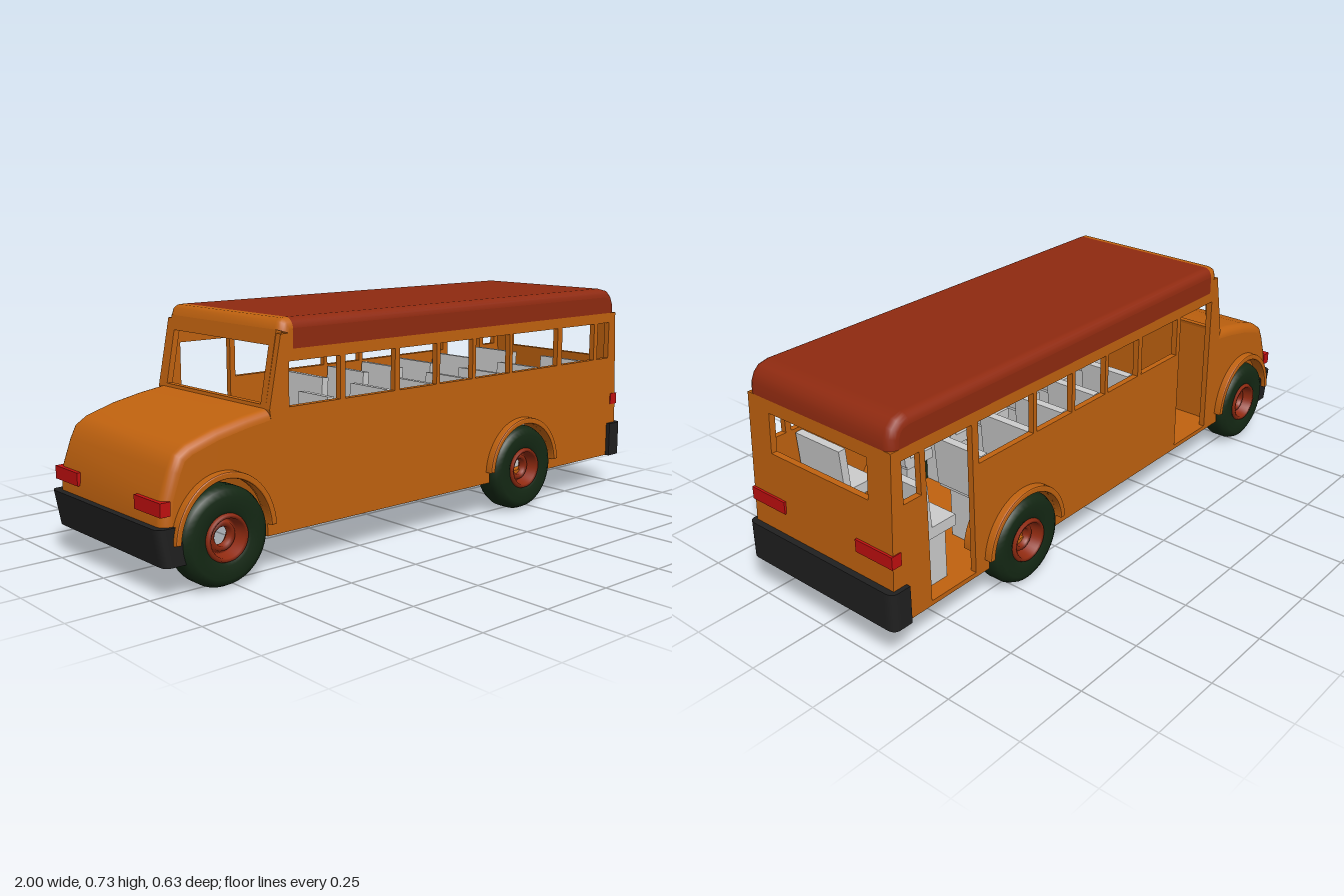
import * as THREE from 'three';

const mat = (color, side = THREE.FrontSide) => new THREE.MeshStandardMaterial({ color, side });
const ORANGE = mat(0xc0620f, THREE.DoubleSide);
const RED = mat(0x8f2a10, THREE.DoubleSide);
const TIRE = mat(0x142814);
const BLACK = mat(0x202020);
const LIGHT = mat(0xc01010);
const GREY = mat(0xcccccc);

const W = 0.29, T = 0.02, R = 0.03; // half width, wall thickness, edge rounding
const FRONT_X = -0.785, REAR_X = 0.45, AXLE_Y = 0.145;

// Side profiles, running from the rear over the top and down the front
const ROOF = [[0.96, 0.645], [0.957, 0.68], [0.945, 0.706], [0.925, 0.725], [0.89, 0.733], [-0.535, 0.733]];
const CAP = [[-0.535, 0.733], [-0.555, 0.732], [-0.57, 0.723], [-0.578, 0.7]];
const HOOD = [[-0.62, 0.48], [-0.7, 0.468], [-0.8, 0.447], [-0.89, 0.418], [-0.925, 0.395],
  [-0.945, 0.355], [-0.972, 0.28], [-0.98, 0.2], [-0.98, 0.115]];

// Window spans along x; the first and seventh are doors on the right side
const WINDOWS = [[-0.55, -0.36], [-0.34, -0.14], [-0.12, 0.04], [0.055, 0.205],
  [0.22, 0.385], [0.4, 0.635], [0.66, 0.84], [0.86, 0.925]];

function add(parent, name, geometry, material, x = 0, y = 0, z = 0) {
  const mesh = new THREE.Mesh(geometry, material);
  mesh.name = name;
  mesh.position.set(x, y, z);
  parent.add(mesh);
  return mesh;
}

const box = (parent, name, size, pos, material) =>
  add(parent, name, new THREE.BoxGeometry(...size), material, ...pos);

// Move a profile inward along its normals
function inset(path, d) {
  return path.map(([x, y], i) => {
    const a = path[Math.max(i - 1, 0)], b = path[Math.min(i + 1, path.length - 1)];
    const dx = b[0] - a[0], dy = b[1] - a[1], l = Math.hypot(dx, dy);
    return [x - (dy / l) * d, y + (dx / l) * d];
  });
}

// Sheet following a side profile across the width, with rounded side edges
function skin(path) {
  const section = [];
  for (let i = 0; i <= 5; i++) {
    const a = (i / 5) * Math.PI / 2;
    section.push([W - R + R * Math.cos(a), R * (1 - Math.sin(a))]);
  }
  const full = [...section, ...section.slice().reverse().map(([z, d]) => [-z, d])];
  const pos = [], index = [], n = path.length;
  full.forEach(([z, d]) => inset(path, d).forEach(([x, y]) => pos.push(x, y, z)));
  for (let j = 0; j < full.length - 1; j++) {
    for (let i = 0; i < n - 1; i++) {
      const a = j * n + i, b = a + n;
      index.push(a, b, a + 1, b, b + 1, a + 1);
    }
  }
  const g = new THREE.BufferGeometry();
  g.setAttribute('position', new THREE.Float32BufferAttribute(pos, 3));
  g.setIndex(index);
  g.computeVertexNormals();
  return g;
}

const shapeOf = (pts) => new THREE.Shape(pts.map(([x, y]) => new THREE.Vector2(x, y)));
const rect = (x0, x1, y0, y1) => [[x0, y0], [x1, y0], [x1, y1], [x0, y1]];
const extrude = (shape, depth) =>
  new THREE.ExtrudeGeometry(shape, { depth, bevelEnabled: false, curveSegments: 24 });

// Wheel arch points from front to rear, starting and ending on the sill
function arch(cx, rx, ry) {
  const pts = [[cx - rx, 0.115]];
  for (let i = 0; i <= 24; i++) {
    const a = Math.PI * (1 - i / 24);
    pts.push([cx + rx * Math.cos(a), AXLE_Y + ry * Math.sin(a)]);
  }
  return [...pts, [cx + rx, 0.115]];
}

function sideWall(doors) {
  const shape = shapeOf([[0.985, 0.115], [0.96, 0.645], [-0.535, 0.645], ...inset(CAP, R),
    [-0.578, 0.69], [-0.62, 0.48], ...inset(HOOD, R),
    ...arch(FRONT_X, 0.152, 0.168), ...arch(REAR_X, 0.153, 0.155)]);
  WINDOWS.forEach(([x0, x1], i) => {
    const low = doors && (i === 0 || i === 6) ? 0.13 : 0.48;
    shape.holes.push(shapeOf(rect(x0, x1, low, 0.61)));
  });
  return extrude(shape, T);
}

// Sloping cross panel with a window; x runs from x0 at y0 to x1 at y1
function endPanel(y0, y1, x0, x1, hole) {
  const shape = shapeOf(rect(-W + T, W - T, y0, y1));
  shape.holes.push(shapeOf(hole));
  const g = extrude(shape, T).rotateY(Math.PI / 2);
  const p = g.attributes.position;
  for (let i = 0; i < p.count; i++) {
    p.setX(i, p.getX(i) + x0 + (x1 - x0) * (p.getY(i) - y0) / (y1 - y0));
  }
  g.computeVertexNormals();
  return g;
}

// Bumper wrapped around the corners, built for the rear end
function bumper(height, halfWidth) {
  const h = halfWidth, s = new THREE.Shape();
  s.moveTo(0.932, -h);
  s.lineTo(0.975, -h);
  s.quadraticCurveTo(1, -h, 1, -h + 0.03);
  s.lineTo(1, h - 0.03);
  s.quadraticCurveTo(1, h, 0.975, h);
  s.lineTo(0.932, h);
  s.lineTo(0.932, h - 0.018);
  s.lineTo(0.965, h - 0.018);
  s.lineTo(0.965, -h + 0.018);
  s.lineTo(0.932, -h + 0.018);
  return extrude(s, height).rotateX(-Math.PI / 2);
}

function wheel() {
  const lathe = (pts) => new THREE.LatheGeometry(pts.map(([r, h]) => new THREE.Vector2(r, h)), 40)
    .rotateX(Math.PI / 2);
  const g = new THREE.Group();
  g.name = 'wheel';
  add(g, 'tire', lathe([[0.066, -0.042], [0.08, -0.05], [0.118, -0.052], [0.136, -0.042], [0.145, -0.022],
    [0.145, 0.022], [0.136, 0.042], [0.118, 0.052], [0.08, 0.05], [0.066, 0.042]]), TIRE);
  add(g, 'rim', lathe([[0.028, 0], [0.028, 0.024], [0.042, 0.024], [0.046, 0.012], [0.052, 0.015],
    [0.057, 0.052], [0.066, 0.054], [0.07, 0.045], [0.07, -0.045], [0.06, -0.045], [0.05, 0], [0.028, 0]]), RED);
  return g;
}

function seat(width) {
  const g = new THREE.Group();
  g.name = 'seat';
  box(g, 'cushion', [0.11, 0.035, width], [0, 0.32, 0], GREY);
  box(g, 'backrest', [0.025, 0.16, width], [0.055, 0.395, 0], GREY).rotation.z = -0.08;
  box(g, 'seatBase', [0.07, 0.175, width * 0.75], [0, 0.217, 0], GREY);
  return g;
}

export function createModel() {
  const bus = new THREE.Group();
  bus.name = 'bus';

  // Body shell
  add(bus, 'leftWall', sideWall(false), ORANGE, 0, 0, W - T);
  add(bus, 'rightWall', sideWall(true), ORANGE, 0, 0, -W);
  add(bus, 'roof', skin(ROOF), RED);
  add(bus, 'cabHeader', skin(CAP), ORANGE);
  add(bus, 'hood', skin(HOOD), ORANGE);
  const roofSide = shapeOf([...inset(ROOF, R), [-0.535, 0.645]]);
  for (const z of [W - T, -W]) add(bus, 'roofSide', extrude(roofSide, T), RED, 0, 0, z);
  add(bus, 'rearWall', endPanel(0.115, 0.645, 0.965, 0.94, rect(-0.2, 0.2, 0.48, 0.605)), ORANGE);
  add(bus, 'windshieldFrame', endPanel(0.48, 0.7, -0.62, -0.578, rect(-0.245, 0.245, 0.49, 0.655)), ORANGE);
  box(bus, 'firewall', [0.015, 0.365, 2 * (W - T)], [-0.612, 0.298, 0], ORANGE);
  box(bus, 'floor', [1.58, 0.015, 2 * (W - T)], [0.175, 0.1225, 0], ORANGE);

  // Wheels, fender lips and rear wheel wells
  for (const s of [1, -1]) {
    for (const x of [FRONT_X, REAR_X]) {
      const w = wheel();
      w.position.set(x, AXLE_Y, s * 0.262);
      if (s < 0) w.rotation.y = Math.PI;
      bus.add(w);

      const front = x === FRONT_X;
      const rx = front ? 0.15 : 0.153, ry = front ? 0.167 : 0.155;
      const lip = new THREE.Shape();
      lip.absellipse(0, 0, rx + 0.018, ry + 0.02, 0.05, Math.PI - 0.05, false);
      lip.absellipse(0, 0, rx, ry, Math.PI - 0.05, 0.05, true);
      const lipGeo = new THREE.ExtrudeGeometry(lip, {
        depth: 0.028, bevelThickness: 0.006, bevelSize: 0.004, bevelOffset: -0.004, bevelSegments: 2, curveSegments: 24,
      });
      add(bus, 'fenderLip', lipGeo, ORANGE, x, AXLE_Y, s > 0 ? 0.282 : -0.31);
      if (!front) {
        const well = new THREE.CylinderGeometry(0.154, 0.154, 0.09, 24, 1, true, -Math.PI / 2, Math.PI)
          .rotateX(-Math.PI / 2);
        add(bus, 'wheelWell', well, ORANGE, x, AXLE_Y, s * 0.235);
      }
    }
    // Corner lights
    box(bus, 'rearLight', [0.035, 0.04, 0.144], [0.964, 0.325, s * 0.221], LIGHT);
    box(bus, 'frontLight', [0.032, 0.04, 0.133], [-0.969, 0.255, s * 0.226], LIGHT);
  }

  // Bumpers
  add(bus, 'rearBumper', bumper(0.12, 0.305), BLACK, 0, 0.115, 0);
  const frontGeo = bumper(0.11, 0.3);
  const p = frontGeo.attributes.position;
  for (let i = 0; i < p.count; i++) if (p.getY(i) < 0.01) p.setX(i, p.getX(i) - 0.02);
  frontGeo.computeVertexNormals();
  add(bus, 'frontBumper', frontGeo, BLACK, 0, 0.094, 0).rotation.y = Math.PI;

  // Passenger benches on both sides of the aisle, and the driver's place
  for (const s of [1, -1]) {
    for (const x of [-0.18, 0.0, 0.16, 0.32, 0.52, 0.76]) {
      const bench = seat(0.19);
      bench.position.set(x, 0, s * 0.165);
      bus.add(bench);
    }
  }
  const driver = seat(0.14);
  driver.name = 'driverSeat';
  driver.position.set(-0.4, 0, 0.15);
  bus.add(driver);
  const steering = add(bus, 'steeringWheel', new THREE.TorusGeometry(0.045, 0.007, 8, 24), BLACK, -0.515, 0.445, 0.16);
  steering.rotation.set(0, Math.PI / 2, 0);
  steering.rotateX(0.6);
  const column = add(bus, 'steeringColumn', new THREE.CylinderGeometry(0.008, 0.008, 0.1, 10), BLACK, -0.557, 0.417, 0.16);
  column.rotation.z = -Math.PI / 2 + 0.6;

  return bus;
}
